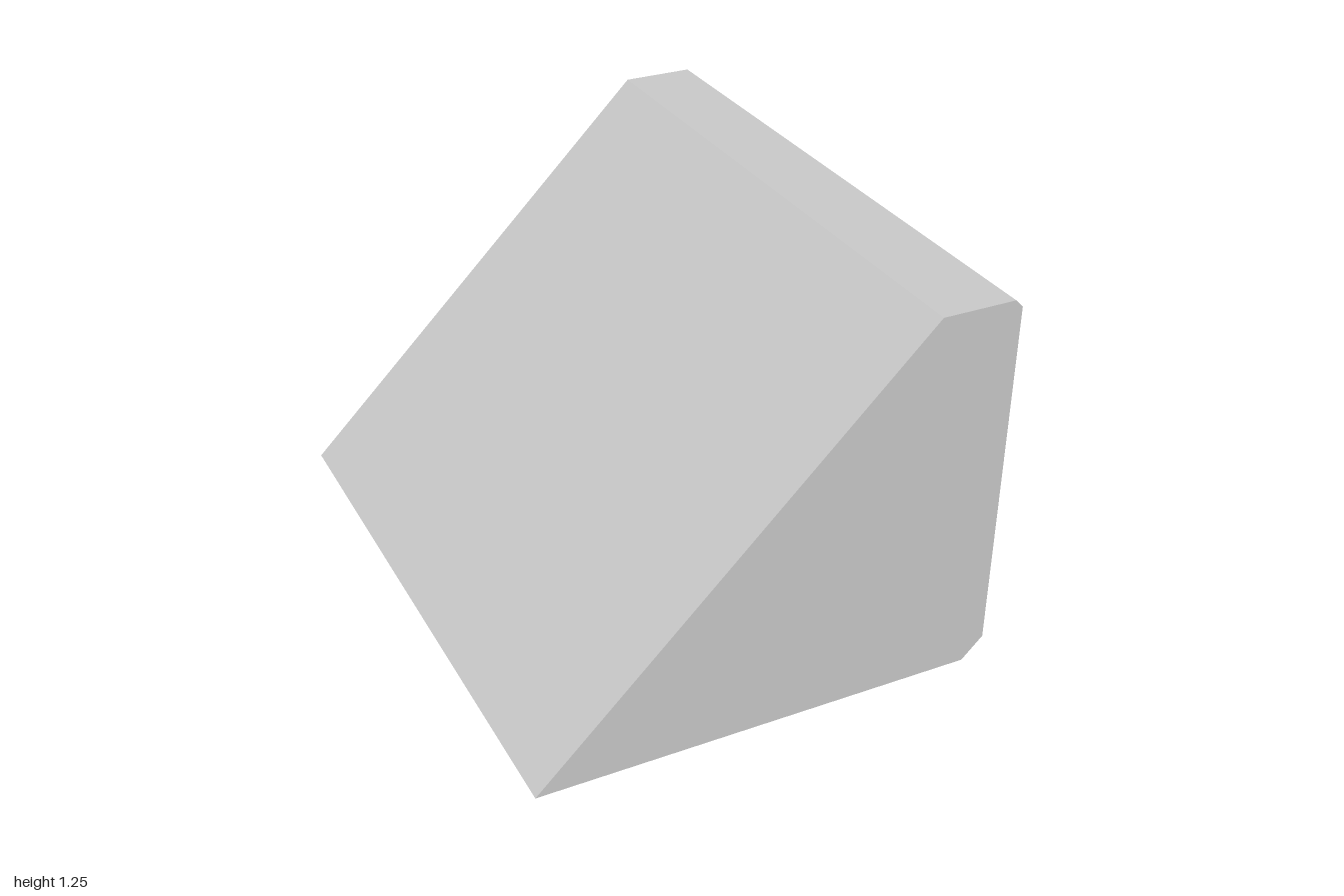
import * as THREE from 'three';

export function createModel() {
  const group = new THREE.Group();
  group.name = 'wedgeBlock';

  // Side profile: long ramp, narrow flat top, upright face with chamfered corners
  const profile = new THREE.Shape([
    [-0.755, 0],
    [0.685, 0],
    [0.755, 0.07],
    [0.755, 1.225],
    [0.73, 1.25],
    [0.49, 1.25],
  ].map(([x, y]) => new THREE.Vector2(x, y)));

  // Sweep the profile along z and centre it
  const depth = 2;
  const geometry = new THREE.ExtrudeGeometry(profile, { depth, bevelEnabled: false });
  geometry.translate(0, 0, -depth / 2);

  const wedge = new THREE.Mesh(
    geometry,
    new THREE.MeshStandardMaterial({ color: 0xcccccc, flatShading: true }),
  );
  wedge.name = 'wedge';
  group.add(wedge);
  return group;
}
